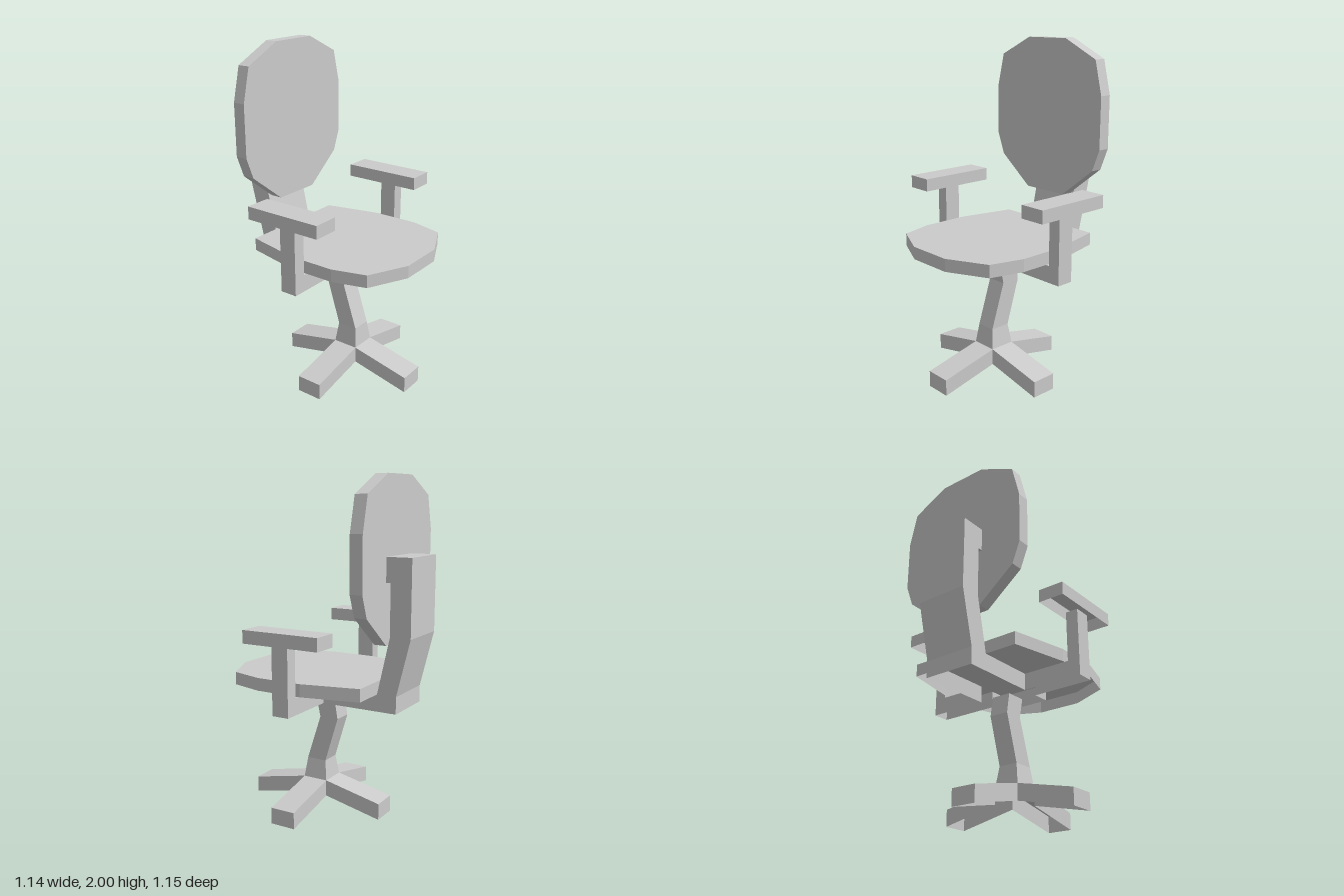
import * as THREE from 'three';

const material = new THREE.MeshStandardMaterial({ color: 0xcccccc, flatShading: true, side: THREE.DoubleSide });

function part(name, geometry, parent) {
  const mesh = new THREE.Mesh(geometry, material);
  mesh.name = name;
  parent.add(mesh);
  return mesh;
}

// Mirror a half outline (given on the +x side, in order) into a closed one
function mirrored(half) {
  return [...half, ...half.map(([x, y]) => [-x, y]).reverse()];
}

function extrude(points, depth) {
  const shape = new THREE.Shape(points.map(([x, y]) => new THREE.Vector2(x, y)));
  return new THREE.ExtrudeGeometry(shape, { depth, bevelEnabled: false });
}

// Horizontal slab from an (x, z) outline
function slab(points, yBottom, yTop) {
  return extrude(points.map(([x, z]) => [x, -z]), yTop - yBottom)
    .rotateX(-Math.PI / 2).translate(0, yBottom, 0);
}

function box(x0, x1, y0, y1, z0, z1) {
  return new THREE.BoxGeometry(x1 - x0, y1 - y0, z1 - z0)
    .translate((x0 + x1) / 2, (y0 + y1) / 2, (z0 + z1) / 2);
}

// Drop the faces whose normal passes the test, leaving an open shell
function without(geometry, test) {
  const source = geometry.index ? geometry.toNonIndexed() : geometry;
  const p = source.attributes.position;
  const tri = new THREE.Triangle(), n = new THREE.Vector3(), kept = [];
  for (let i = 0; i < p.count; i += 3) {
    tri.setFromAttributeAndIndices(p, i, i + 1, i + 2);
    tri.getNormal(n);
    if (!test(n)) for (const v of [tri.a, tri.b, tri.c]) kept.push(v.x, v.y, v.z);
  }
  const result = new THREE.BufferGeometry();
  result.setAttribute('position', new THREE.Float32BufferAttribute(kept, 3));
  result.computeVertexNormals();
  return result;
}
const openBelow = (geometry) => without(geometry, (n) => n.y < -0.9);

export function createModel() {
  const root = new THREE.Group();
  root.name = 'officeChair';
  const chair = new THREE.Group();
  chair.name = 'chair';
  chair.rotation.y = 0.03; // the chair is turned very slightly
  root.add(chair);

  // Backrest: twelve-sided panel
  const backOutline = mirrored([[0.15, 1.07], [0.38, 1.25], [0.43, 1.38], [0.43, 1.69], [0.38, 1.89], [0.15, 2]]);
  part('backrest', extrude(backOutline, 0.075).translate(0, 0, -0.418), chair);

  // Seat: pan with an open underside
  const seatOutline = mirrored([[0.14, 0.567], [0.376, 0.455], [0.432, 0.255], [0.432, -0.03], [0.358, -0.37]]);
  part('seat', openBelow(slab(seatOutline, 0.79, 0.865)), chair);

  // Cross-shaped frame under the seat
  const frameOutline = mirrored([[0.16, 0.19], [0.16, 0.085], [0.53, 0.085], [0.53, -0.018], [0.16, -0.018], [0.16, -0.488]]);
  part('seatFrame', openBelow(slab(frameOutline, 0.69, 0.79)), chair);

  // Bent back support with a hook at the top, as a side profile (z, y)
  const supportProfile = [
    [-0.488, 0.79], [-0.57, 1.12], [-0.57, 1.56], [-0.418, 1.56],
    [-0.418, 1.42], [-0.445, 1.42], [-0.445, 1.12], [-0.37, 0.79],
  ];
  part('backSupport', extrude(supportProfile, 0.32).rotateY(-Math.PI / 2).translate(0.16, 0, 0), chair);

  // Arms
  for (const side of [1, -1]) {
    const arm = new THREE.Group();
    arm.name = side > 0 ? 'leftArm' : 'rightArm';
    chair.add(arm);
    const postX = side * 0.4925, padX = side * 0.487;
    part('armPost', box(postX - 0.0375, postX + 0.0375, 0.79, 1.09, -0.018, 0.085), arm);
    const z = side * -0.007;
    part('armPad', openBelow(box(padX - 0.078, padX + 0.078, 1.087, 1.163, z - 0.222, z + 0.26)), arm);
  }

  // Kinked column: y, front z, back z, half width of each section
  const sections = [
    [0.175, 0.17, 0.014, 0.078],
    [0.295, 0.155, 0.03, 0.06],
    [0.57, 0.065, -0.055, 0.06],
    [0.69, 0.09, -0.035, 0.06],
  ];
  const column = new THREE.BoxGeometry(1, 1, 1, 1, 3, 1);
  const cp = column.attributes.position;
  for (let i = 0; i < cp.count; i++) {
    const [y, front, back, half] = sections[Math.round((cp.getY(i) + 0.5) * 3)];
    cp.setXYZ(i, Math.sign(cp.getX(i)) * half, y, cp.getZ(i) > 0 ? front : back);
  }
  column.computeVertexNormals();
  part('column', column, chair);

  // Base: four sloping legs, open underneath
  const base = new THREE.Group();
  base.name = 'base';
  base.position.z = 0.092;
  chair.add(base);
  const inner = 0.078, outer = 0.438;
  const leg = box(inner, outer, 0, 0.098, -0.078, 0.078);
  const lp = leg.attributes.position;
  for (let i = 0; i < lp.count; i++) {
    lp.setY(i, lp.getY(i) + 0.077 * (outer - lp.getX(i)) / (outer - inner));
  }
  const legShell = without(leg, (n) => n.y < -0.9 || n.x < -0.9);
  for (let i = 0; i < 4; i++) {
    part('leg', legShell, base).rotation.y = i * Math.PI / 2;
  }

  return root;
}
